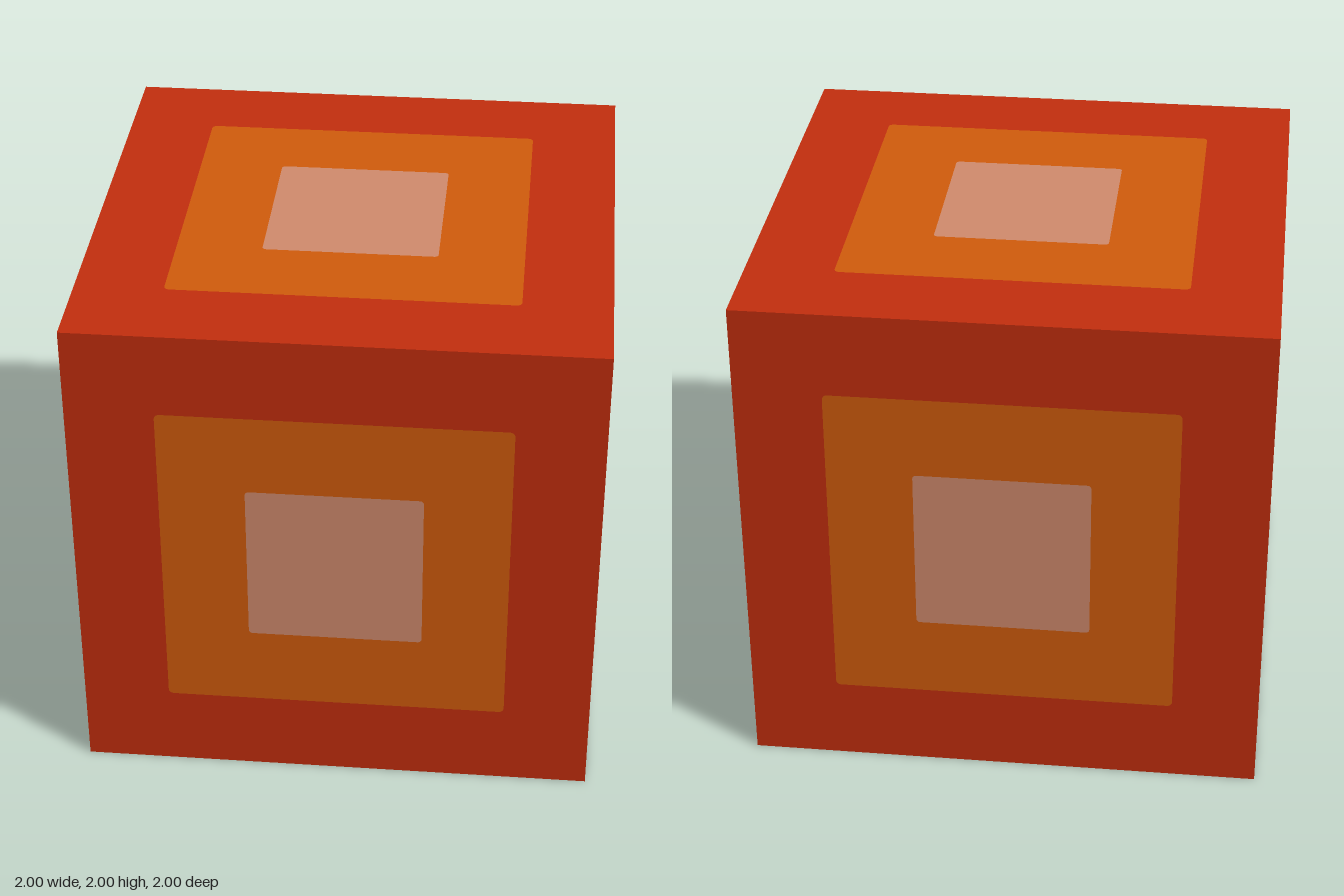
import * as THREE from 'three';

// Rounded square outline traced counter-clockwise; r is the corner radius
function trace(path, h, r) {
  if (r === 0) {
    path.moveTo(-h, -h).lineTo(h, -h).lineTo(h, h).lineTo(-h, h).closePath();
    return path;
  }
  const c = h - r;
  path.absarc(c, c, r, 0, Math.PI / 2, false);
  path.absarc(-c, c, r, Math.PI / 2, Math.PI, false);
  path.absarc(-c, -c, r, Math.PI, Math.PI * 1.5, false);
  path.absarc(c, -c, r, Math.PI * 1.5, Math.PI * 2, false);
  path.closePath();
  return path;
}

// Flat square, optionally with a square opening
function panel(outer, inner) {
  const shape = trace(new THREE.Shape(), outer.half, outer.radius);
  if (inner) shape.holes.push(trace(new THREE.Path(), inner.half, inner.radius));
  return new THREE.ShapeGeometry(shape, 4);
}

export function createModel() {
  const material = (name, color) => {
    const m = new THREE.MeshStandardMaterial({ color });
    m.name = name;
    return m;
  };
  const red = material('red', 0xc42e0e);
  const orange = material('orange', 0xd25c0c);
  const pale = material('palePink', 0xd28b6d);

  const edge = { half: 1, radius: 0 };
  const middle = { half: 0.664, radius: 0.02 };
  const centre = { half: 0.336, radius: 0.015 };

  // Nested, coplanar bands shared by all six faces
  const bands = [
    ['outerBand', panel(edge, middle), red],
    ['middleBand', panel(middle, centre), orange],
    ['centreSquare', panel(centre), pale],
  ];

  const q = Math.PI / 2;
  const faces = [
    ['frontFace', 0, 0],
    ['leftFace', 0, q],
    ['backFace', 0, 2 * q],
    ['rightFace', 0, -q],
    ['topFace', -q, 0],
    ['bottomFace', q, 0],
  ];

  const model = new THREE.Group();
  model.name = 'cube';
  for (const [name, rx, ry] of faces) {
    const face = new THREE.Group();
    face.name = name;
    face.rotation.set(rx, ry, 0);
    face.position.y = 1;
    for (const [bandName, geometry, mat] of bands) {
      const mesh = new THREE.Mesh(geometry, mat);
      mesh.name = bandName;
      mesh.position.z = 1;
      face.add(mesh);
    }
    model.add(face);
  }
  return model;
}
